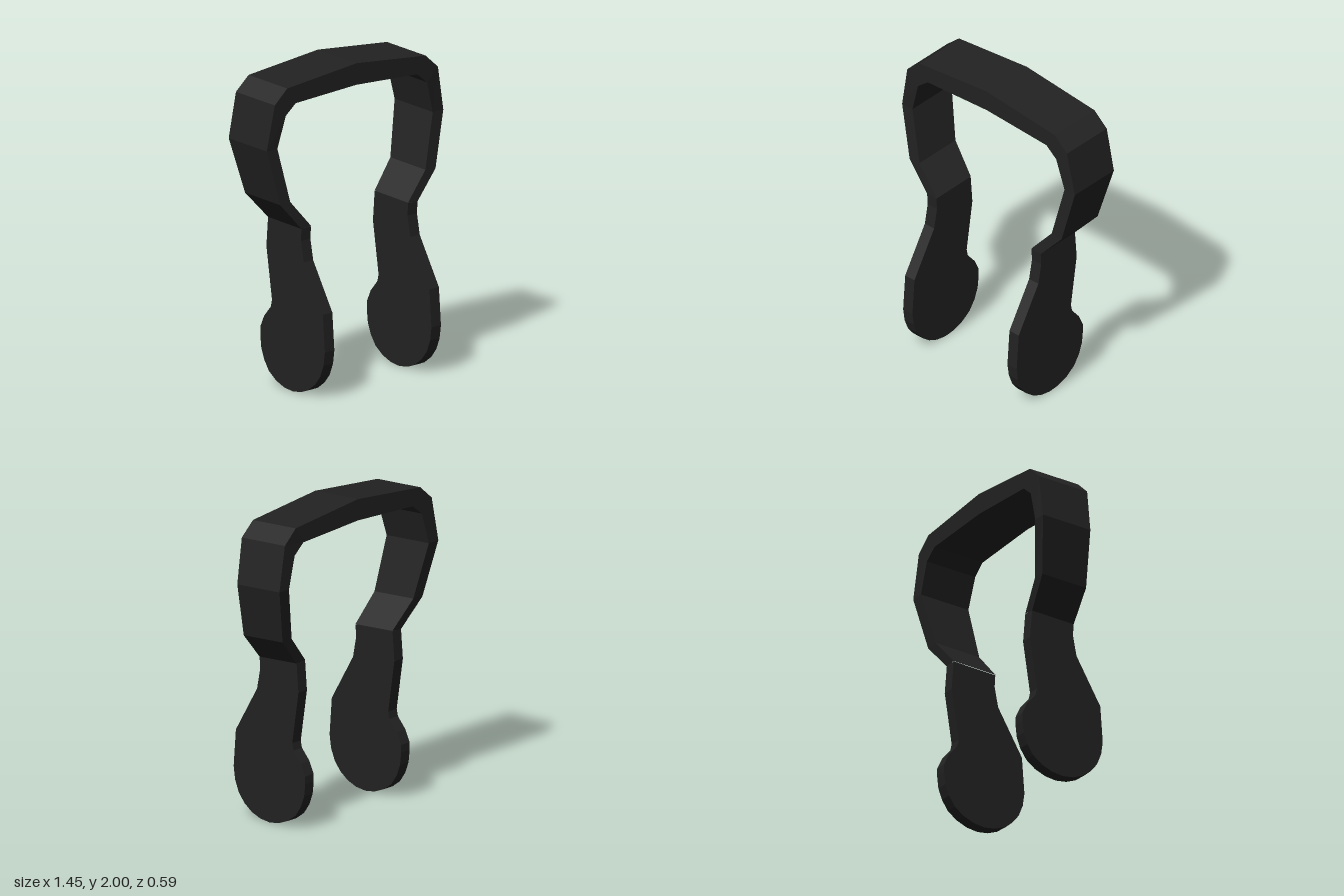
import * as THREE from 'three';

const material = new THREE.MeshStandardMaterial({ color: 0x222222, flatShading: true });

// Half of the band, from top centre down to the paddle:
// outer x, outer y, inner x, inner y, front z, back z (y taken at the front edge)
const half = [
  [0, 1.985, 0, 1.85, 0.057, -0.29],
  [0.57, 1.93, 0.5, 1.825, 0.057, -0.29],
  [0.672, 1.842, 0.582, 1.76, 0.057, -0.292],
  [0.727, 1.56, 0.64, 1.56, 0.045, -0.297],
  [0.64, 1.212, 0.557, 1.217, 0.07, -0.245],
  [0.478, 1.036, 0.4, 1.042, 0.085, -0.215],
];
const rise = 0.017; // the back edge sits a little higher

// Side outline of a paddle as (z, y)
const outline = [
  [0.085, 1.038], [0.08, 0.96], [0.105, 0.83], [0.277, 0.535], [0.295, 0.3],
  [0.283, 0.215], [0.253, 0.14], [0.207, 0.082], [0.147, 0.037], [0.08, 0.01],
  [0.005, 0], [-0.07, 0.01], [-0.145, 0.04], [-0.207, 0.086], [-0.25, 0.15],
  [-0.276, 0.22], [-0.285, 0.3], [-0.285, 0.35], [-0.25, 0.425], [-0.19, 0.495],
  [-0.18, 0.54], [-0.23, 0.87], [-0.215, 1.056],
];

function bandGeometry() {
  const mirrored = half.slice(1).reverse().map(([ox, oy, ix, iy, f, b]) => [-ox, oy, -ix, iy, f, b]);
  const stations = [...mirrored, ...half];
  const positions = [];
  const index = [];
  // Four corners per station: outer front, outer back, inner back, inner front
  stations.forEach(([ox, oy, ix, iy, f, b]) => {
    positions.push(ox, oy, f, ox, oy + rise, b, ix, iy + rise, b, ix, iy, f);
  });
  for (let s = 0; s < stations.length - 1; s++) {
    for (let k = 0; k < 4; k++) {
      const a = s * 4 + k;
      const b = s * 4 + ((k + 1) % 4);
      index.push(a, a + 4, b, b, a + 4, b + 4);
    }
  }
  const geometry = new THREE.BufferGeometry();
  geometry.setAttribute('position', new THREE.Float32BufferAttribute(positions, 3));
  geometry.setIndex(index);
  const flat = geometry.toNonIndexed();
  flat.computeVertexNormals();
  return flat;
}

function paddleGeometry() {
  const shape = new THREE.Shape(outline.map(([z, y]) => new THREE.Vector2(-z, y)));
  const geometry = new THREE.ExtrudeGeometry(shape, { depth: 0.078, bevelEnabled: false });
  geometry.rotateY(Math.PI / 2); // thickness now runs along x
  return geometry;
}

export function createModel() {
  const group = new THREE.Group();
  group.name = 'headband';

  const band = new THREE.Mesh(bandGeometry(), material);
  band.name = 'band';
  group.add(band);

  // One flat paddle below each end of the band
  const geometry = paddleGeometry();
  for (const [name, x] of [['leftPaddle', 0.4], ['rightPaddle', -0.478]]) {
    const paddle = new THREE.Mesh(geometry, material);
    paddle.name = name;
    paddle.position.x = x;
    group.add(paddle);
  }
  return group;
}
